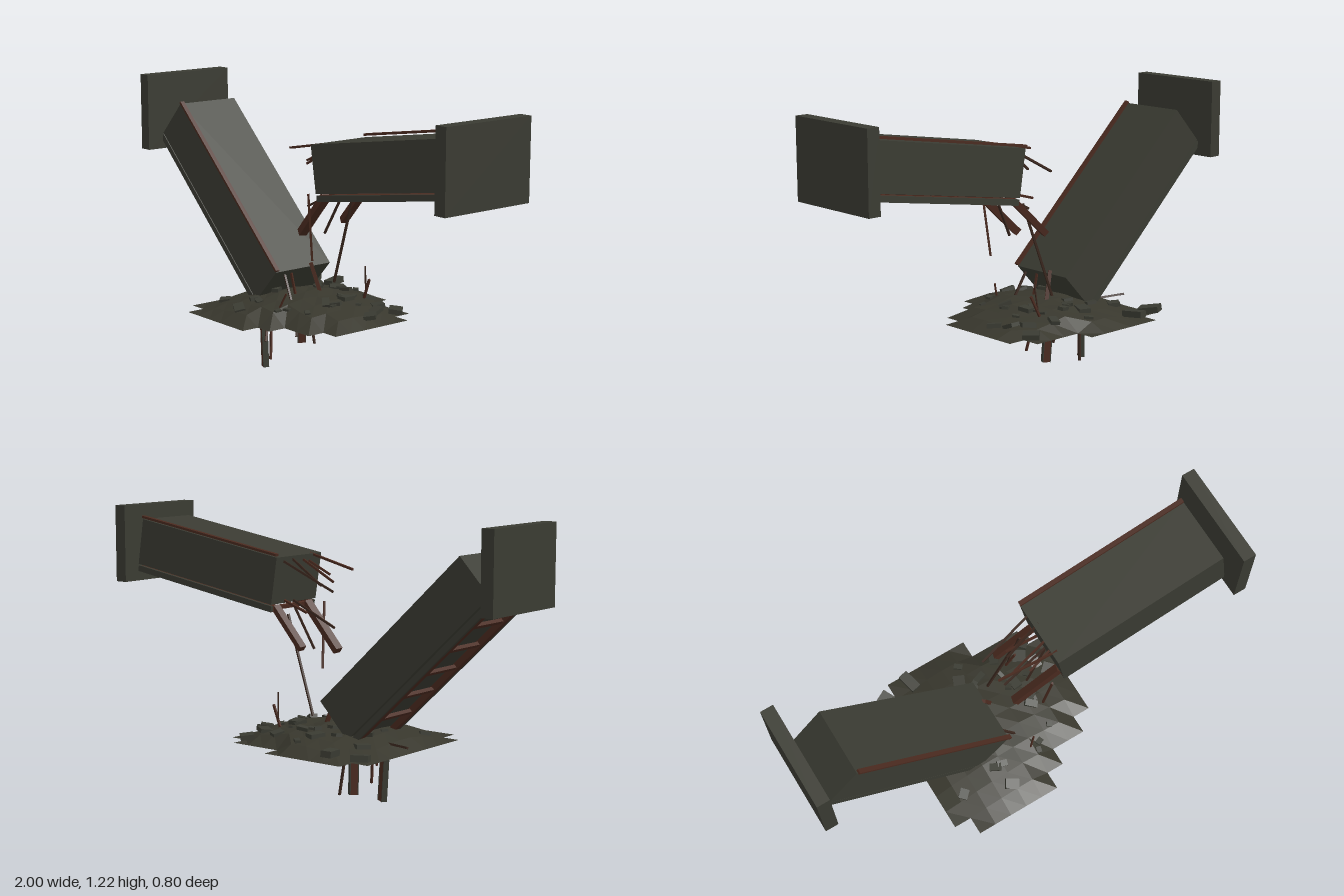
import * as THREE from 'three';

const mat = (name, color, extra = {}) => {
  const m = new THREE.MeshStandardMaterial({ color, ...extra });
  m.name = name;
  return m;
};

export function createModel() {
  const concrete = mat('dark concrete', 0x3a3b32);
  const rubbleMat = mat('rubble', 0x38372d, { side: THREE.DoubleSide, flatShading: true });
  const rust = mat('rusted steel', 0x4a2a1f);
  const darkRust = mat('dark rebar', 0x3a271e);

  const model = new THREE.Group();
  model.name = 'collapsedBridge';

  let seed = 7;
  const rnd = () => (seed = (seed * 16807) % 2147483647) / 2147483647;

  const box = (parent, name, m, [w, h, d], [x, y, z]) => {
    const mesh = new THREE.Mesh(new THREE.BoxGeometry(w, h, d), m);
    mesh.name = name;
    mesh.position.set(x, y, z);
    parent.add(mesh);
    return mesh;
  };

  // Straight bar from a to b
  const bar = (name, a, b, w, d, m) => {
    const A = new THREE.Vector3(...a), B = new THREE.Vector3(...b);
    const mesh = new THREE.Mesh(new THREE.BoxGeometry(w, A.distanceTo(B), d), m);
    mesh.name = name;
    mesh.position.copy(A).add(B).multiplyScalar(0.5);
    mesh.quaternion.setFromUnitVectors(new THREE.Vector3(0, 1, 0), B.sub(A).normalize());
    model.add(mesh);
    return mesh;
  };

  // End abutments
  for (const s of [-1, 1]) box(model, 'abutment', concrete, [0.057, 0.34, 0.447], [s * 0.9715, 1.055, 0]);

  // Bridge span between two points on its top edge: body, top rail, girders and cross ties
  const span = (name, [x0, y0], [x1, y1], railSide) => {
    const g = new THREE.Group();
    g.name = name;
    const len = Math.hypot(x1 - x0, y1 - y0), h = 0.204;
    g.position.set((x0 + x1) / 2, (y0 + y1) / 2, 0);
    g.rotation.z = Math.atan2(y1 - y0, x1 - x0);
    box(g, 'spanBody', concrete, [len, h, 0.298], [0, -h / 2, 0]);
    box(g, 'topRail', rust, [len, 0.01, 0.02], [0, 0.011, railSide * 0.148]);
    for (const s of [-1, 1]) {
      box(g, 'girder', rust, [len, 0.026, 0.03], [0, -h - 0.02, s * 0.118]);
      box(g, 'girderLip', concrete, [len, 0.026, 0.014], [0, -h - 0.02, s * 0.14]);
    }
    for (let i = 0; i < 7; i++) {
      box(g, 'crossTie', rust, [0.018, 0.016, 0.21], [(i / 6 - 0.5) * (len - 0.03), -h - 0.02, 0]);
    }
    model.add(g);
  };
  span('leftSpan', [-0.795, 1.106], [-0.108, 0.457], 1);
  span('rightSpan', [0.126, 1.04], [0.903, 1.163], -1);

  // Bent girder ends hanging from the right span
  bar('hangingGirder', [0.165, 0.825, 0.1], [-0.03, 0.635, 0.07], 0.032, 0.034, rust);
  bar('hangingGirder', [0.165, 0.825, -0.11], [0.0, 0.665, -0.135], 0.028, 0.03, rust);

  // Broken supports under the rubble
  const post = (a, b) => {
    const p = bar('brokenPost', a, b, 0.032, 0.024, rust);
    const len = p.geometry.parameters.height;
    for (const s of [-1, 1]) box(p, 'postFace', concrete, [0.004, len, 0.026], [s * 0.017, 0, 0]);
  };
  post([-0.262, 0.3, 0.103], [-0.24, 0.003, 0.108]);
  post([-0.25, 0.3, -0.103], [-0.248, 0.073, -0.104]);

  // Torn reinforcing rods: [from, to, thickness]
  const rods = [
    [[0.15, 1.04, 0.1], [-0.108, 0.988, 0.07]],
    [[0.15, 1.03, -0.1], [-0.105, 0.905, -0.06]],
    [[0.15, 1.03, 0.03], [-0.02, 0.93, 0.05]],
    [[0.15, 1.04, -0.04], [-0.01, 0.92, -0.02]],
    [[0.15, 1.02, 0.07], [0.03, 0.955, 0.09]],
    [[0.16, 0.845, 0], [-0.05, 0.74, 0.02]],
    [[0.16, 0.85, -0.06], [0.02, 0.81, -0.08]],
    [[0.16, 0.83, 0.0], [0.06, 0.64, 0.02]],
    [[0.105, 0.83, 0.145], [0.087, 0.54, 0.11]],
    [[0.1, 0.8, -0.105], [-0.05, 0.385, -0.125]],
    [[-0.2, 0.33, 0.1], [-0.155, 0.062, 0.145]],
    [[-0.23, 0.33, -0.115], [-0.203, 0.07, -0.14]],
    [[-0.22, 0.33, 0.09], [-0.175, 0.14, 0.155]],
    [[-0.2, 0.33, -0.06], [-0.17, 0.13, -0.01]],
    [[-0.13, 0.44, 0.05], [-0.072, 0.215, 0.04]],
    [[-0.03, 0.31, -0.05], [0.0, 0.235, -0.06]],
    [[-0.115, 0.47, -0.047], [-0.07, 0.33, -0.068], 0.016],
    [[-0.11, 0.44, 0.1], [-0.05, 0.33, 0.11]],
    [[0.08, 0.33, -0.185], [0.122, 0.42, -0.177]],
    [[0.09, 0.36, -0.185], [0.1, 0.475, -0.173], 0.005],
    [[-0.04, 0.29, 0.205], [0.0, 0.39, 0.18], 0.006],
    [[-0.52, 0.305, -0.1], [-0.4, 0.3, -0.06]],
  ];
  rods.forEach(([a, b, t = 0.009], i) => bar('rebar', a, b, t, t, i % 2 ? darkRust : rust));

  // Rubble mound: a height field whose stepped outline is given by cell ranges per row
  const rows = [[1, 5], [0, 8], [0, 9], [0, 9], [0, 9], [0, 9], [0, 9], [0, 8], [0, 6], [1, 5]];
  const cell = (i, j) => !!rows[j] && i >= rows[j][0] && i <= rows[j][1];
  const gx = (i) => -0.485 + i * 0.0785, gz = (j) => -0.4 + j * 0.08;
  const height = (x, z) => {
    const r = Math.hypot((x + 0.1) / 0.44, z / 0.44);
    return 0.265 + 0.09 * Math.max(0, 1 - r ** 1.7) + 0.008 * Math.sin(x * 31 + z * 17) * Math.max(0, 1 - r);
  };
  const vertex = (i, j) => {
    const inner = cell(i, j) && cell(i - 1, j) && cell(i, j - 1) && cell(i - 1, j - 1);
    return [gx(i), inner ? height(gx(i), gz(j)) : 0.265, gz(j)];
  };
  const pos = [];
  for (let j = 0; j < 10; j++) {
    for (let i = 0; i < 10; i++) {
      if (!cell(i, j)) continue;
      const a = vertex(i, j), b = vertex(i + 1, j), c = vertex(i + 1, j + 1), d = vertex(i, j + 1);
      pos.push(...a, ...d, ...c, ...a, ...c, ...b);
    }
  }
  const moundGeo = new THREE.BufferGeometry();
  moundGeo.setAttribute('position', new THREE.Float32BufferAttribute(pos, 3));
  moundGeo.computeVertexNormals();
  const mound = new THREE.Mesh(moundGeo, rubbleMat);
  mound.name = 'rubbleMound';
  model.add(mound);

  // Broken slabs lying on the mound
  const chunk = (x, z, s, lift = 0) => {
    const m = box(model, 'slabFragment', concrete, [s, s * 0.3, s * (0.5 + 0.4 * rnd())],
      [x, height(x, z) + 0.006 + lift, z]);
    m.rotation.set((rnd() - 0.5) * 0.6, rnd() * 6.28, (rnd() - 0.5) * 0.6);
  };
  [[-0.32, -0.35, 0.09, 0.02], [-0.45, -0.32, 0.09, 0.02], [-0.14, -0.22, 0.065], [0.2, -0.26, 0.07],
    [0.05, -0.24, 0.05], [-0.38, 0.22, 0.045], [-0.36, -0.19, 0.06], [0.24, -0.08, 0.06]]
    .forEach((c) => chunk(...c));
  for (let k = 0; k < 24; k++) {
    const t = rnd() * 6.28, r = 0.12 + 0.2 * rnd();
    chunk(-0.06 + r * Math.cos(t), r * Math.sin(t), 0.025 + 0.035 * rnd());
  }
  return model;
}
